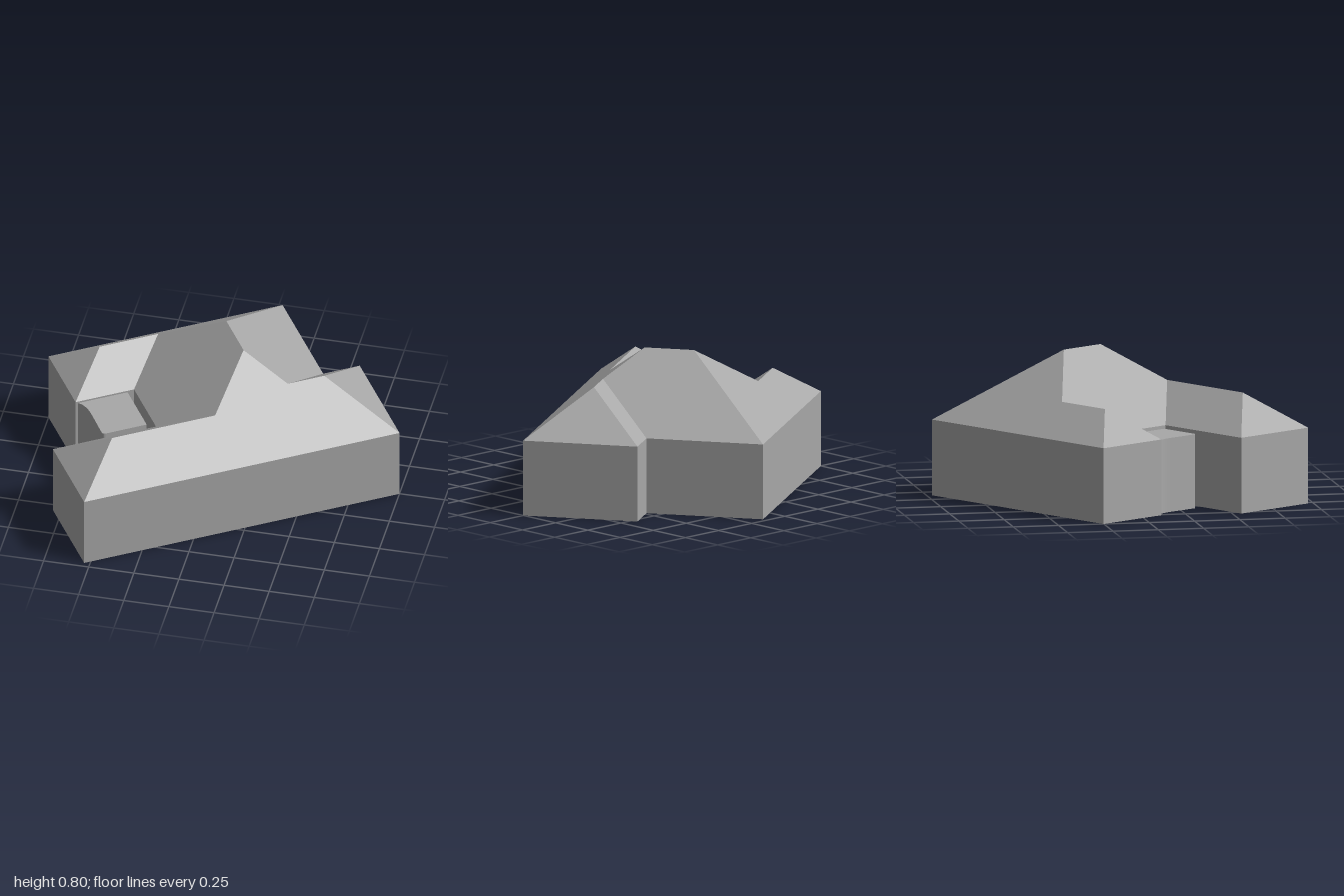
import * as THREE from 'three';
import { ConvexGeometry } from 'three/addons/geometries/ConvexGeometry.js';

const BASE = 0.01, EAVE = 0.425, PITCH = 0.765;

// Rectangular block with a hipped roof; the ridge follows the longer side
function hipBlock(u0, u1, v0, v1) {
  const half = Math.min(u1 - u0, v1 - v0) / 2;
  const top = EAVE + half * PITCH;
  const points = [];
  for (const u of [u0, u1]) for (const v of [v0, v1]) for (const y of [BASE, EAVE]) {
    points.push(new THREE.Vector3(u, y, v));
  }
  points.push(new THREE.Vector3(u0 + half, top, v0 + half));
  points.push(new THREE.Vector3(u1 - half, top, v1 - half));
  return new ConvexGeometry(points);
}

export function createModel() {
  const model = new THREE.Group();
  model.name = 'house';
  const grey = new THREE.MeshStandardMaterial({ color: 0xa8a8a8 });
  grey.name = 'plain grey';

  const plan = new THREE.Group();
  plan.name = 'housePlan';
  plan.rotation.y = 0.564; // the house stands at an angle
  model.add(plan);

  const add = (name, geometry) => {
    const mesh = new THREE.Mesh(geometry, grey);
    mesh.name = name;
    plan.add(mesh);
  };

  // Main hall and its three wings, all with the same roof pitch
  add('mainHall', hipBlock(-0.375, 0.635, -0.748, 0.536));
  add('backWing', hipBlock(-0.711, 0.5, -0.748, -0.315));
  add('frontWing', hipBlock(-0.968, 0.5, 0.036, 0.536));
  add('sideWing', hipBlock(-0.2, 0.845, -0.1, 0.536));

  // Flat-topped annex off the back wing, flared at its root and free of the hall
  const outline = new THREE.Shape();
  outline.moveTo(-0.711, -0.4);
  outline.lineTo(-0.711, -0.325);
  outline.quadraticCurveTo(-0.662, -0.3, -0.662, -0.2);
  outline.lineTo(-0.665, -0.025);
  outline.quadraticCurveTo(-0.663, -0.01, -0.645, -0.01);
  outline.lineTo(-0.412, -0.01);
  outline.lineTo(-0.412, -0.4);
  outline.closePath();
  const annex = new THREE.ExtrudeGeometry(outline, { depth: 0.415 - BASE, bevelEnabled: false, curveSegments: 8 });
  annex.rotateX(Math.PI / 2);
  annex.translate(0, 0.415, 0);
  add('annex', annex);

  return model;
}
